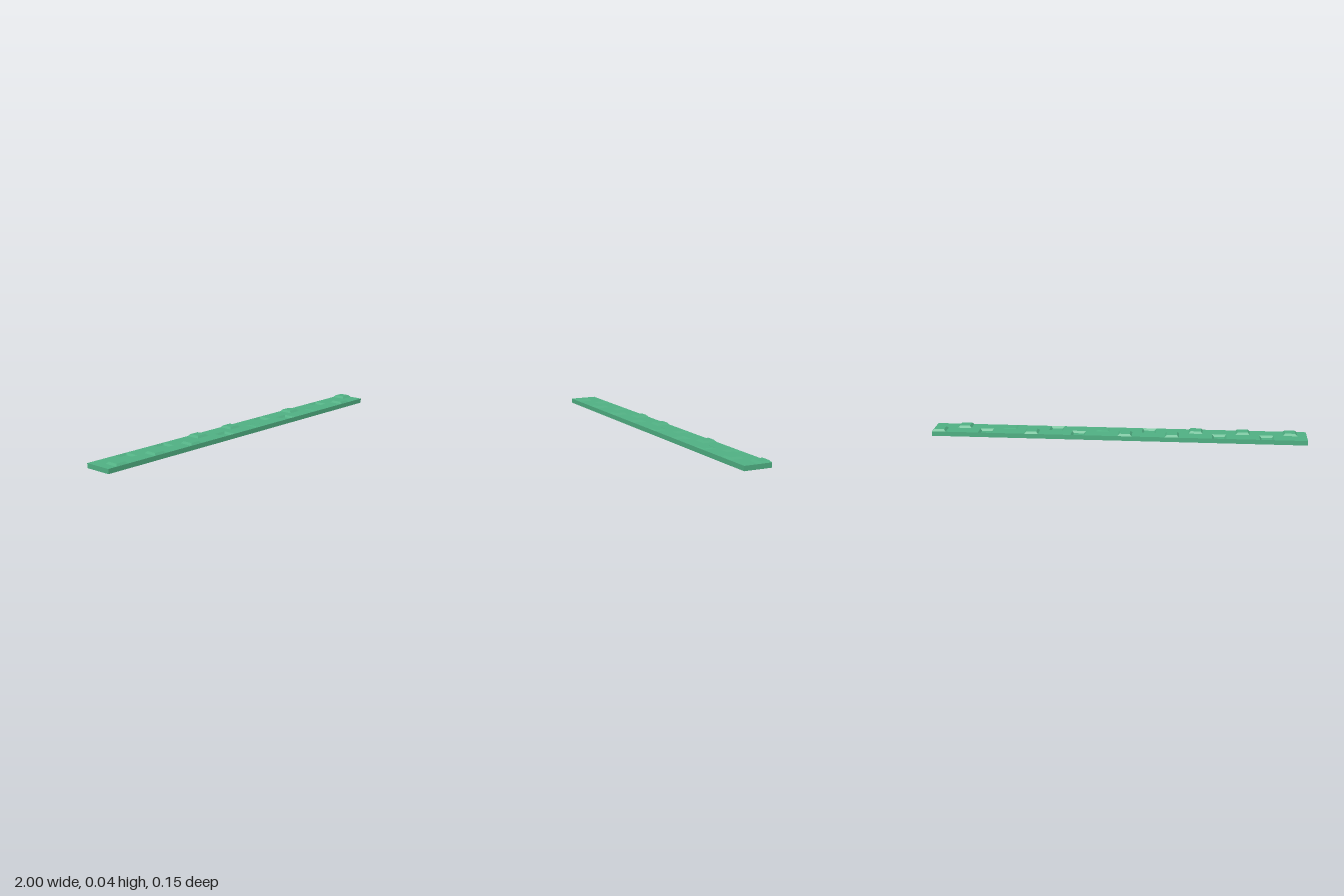
import * as THREE from 'three';

const HALF_D = 0.075, TOP = 0.025, PAD = 0.075, INSET = 0.0105, RISE = 0.0105, LOW = 0.003;
const material = new THREE.MeshStandardMaterial({ color: 0x50b083, flatShading: true });

// Mesh from quads, each four corners counter-clockwise from outside
function quadMesh(name, quads) {
  const points = quads.flatMap(([a, b, c, d]) => [a, b, c, a, c, d]).flat();
  const geometry = new THREE.BufferGeometry();
  geometry.setAttribute('position', new THREE.Float32BufferAttribute(points, 3));
  geometry.computeVertexNormals();
  const mesh = new THREE.Mesh(geometry, material);
  mesh.name = name;
  return mesh;
}

// Corners of a horizontal rectangle, counter-clockwise seen from above
const rect = (x0, x1, z0, z1, y) => [[x0, y, z1], [x1, y, z1], [x1, y, z0], [x0, y, z0]];

// Sloped sides joining two rectangles
const walls = (low, high) => low.map((p, i) => {
  const j = (i + 1) % 4;
  return [p, low[j], high[j], high[i]];
});

export function createModel() {
  const group = new THREE.Group();
  group.name = 'studdedStrip';

  // Alternating pads along the strip: front row on even steps, back row on odd.
  // Heights: raised, recessed or slightly raised
  const U = RISE, D = -RISE, L = LOW;
  const heights = [U, D, U, D, U, U, D, U, L, D, D, U, L, D, U, U];

  // Slab underside and edges
  const bottom = rect(-1, 1, -HALF_D, HALF_D, 0);
  const top = rect(-1, 1, -HALF_D, HALF_D, TOP);
  const slab = [[...bottom].reverse(), ...walls(bottom, top)];

  // Slab top, left open beneath each pad
  const rowEnd = [-1, -1];
  heights.forEach((h, i) => {
    const back = i % 2;
    const x0 = -0.95 + 0.125 * i, x1 = x0 + PAD;
    const z0 = back ? -HALF_D : 0, z1 = z0 + PAD;
    slab.push(rect(rowEnd[back], x0, z0, z1, TOP));
    rowEnd[back] = x1;

    const outer = rect(x0, x1, z0, z1, TOP);
    const inner = rect(x0 + INSET, x1 - INSET, z0 + INSET, z1 - INSET, TOP + h);
    const name = h === L ? 'lowPad' : h > 0 ? 'raisedPad' : 'recessedPad';
    group.add(quadMesh(name, [...walls(outer, inner), inner]));
  });
  slab.push(rect(rowEnd[0], 1, 0, HALF_D, TOP));
  group.add(quadMesh('slab', slab));
  return group;
}
